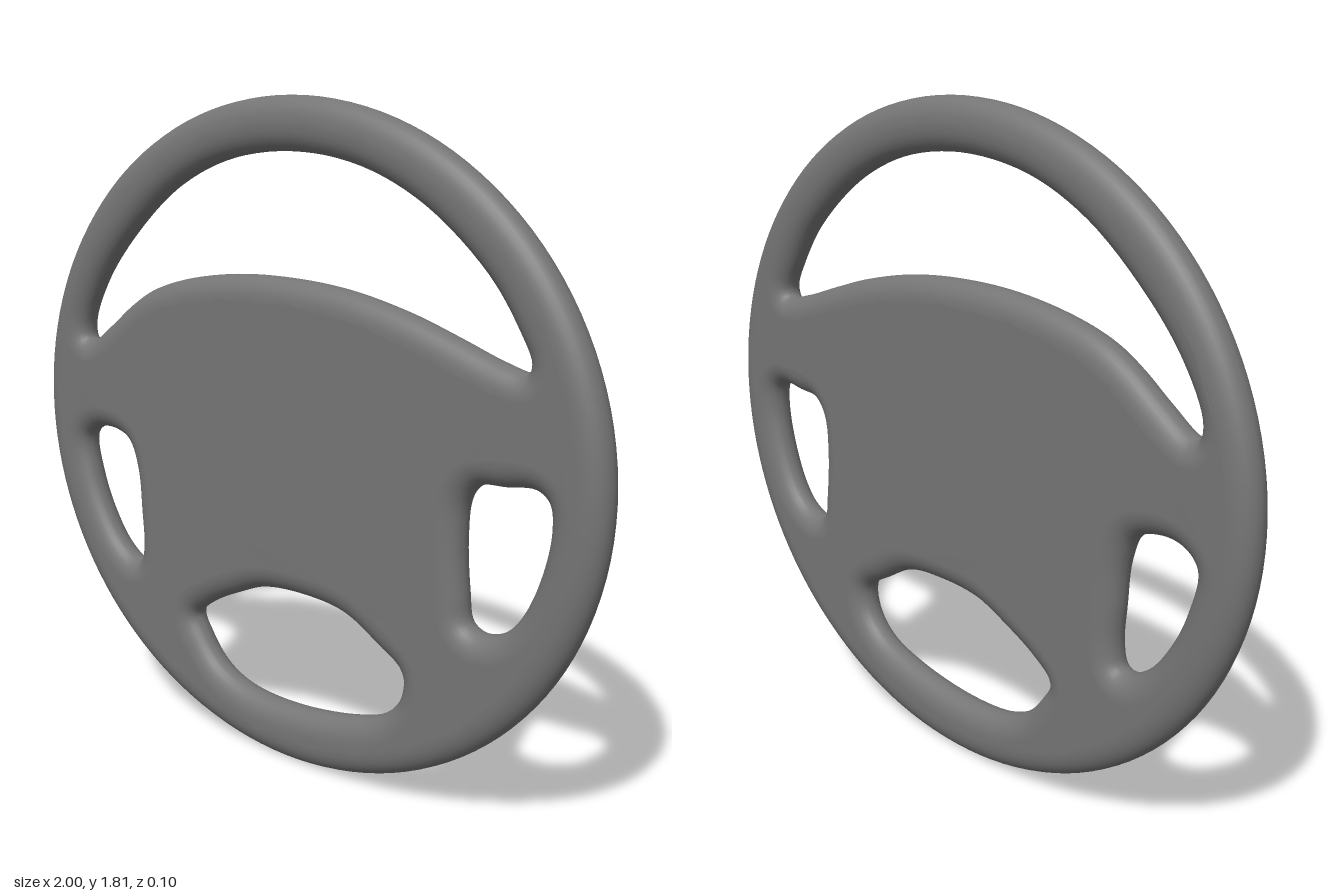
import * as THREE from 'three';
import { mergeVertices } from 'three/addons/utils/BufferGeometryUtils.js';

// Smooth closed outline through a few [x, y] points
function smoothLoop(points) {
  const curve = new THREE.CatmullRomCurve3(
    points.map(([x, y]) => new THREE.Vector3(x, y, 0)), true, 'centripetal');
  return curve.getPoints(points.length * 6).slice(0, -1).map(p => new THREE.Vector2(p.x, p.y));
}

// Openings between the rim, spokes and hub
const upperOpening = [
  [-0.825, 1.105], [-0.828, 1.15], [-0.765, 1.27], [-0.65, 1.4], [-0.46, 1.55], [-0.25, 1.64],
  [0, 1.672], [0.25, 1.64], [0.46, 1.55], [0.65, 1.4], [0.74, 1.28], [0.775, 1.21], [0.765, 1.187],
  [0.69, 1.2], [0.55, 1.245], [0.4, 1.29], [0.2, 1.33], [0, 1.345], [-0.2, 1.34],
  [-0.4, 1.31], [-0.53, 1.27], [-0.62, 1.22], [-0.71, 1.155], [-0.8, 1.098]];
const rightOpening = [
  [-0.835, 0.79], [-0.79, 0.83], [-0.71, 0.836], [-0.64, 0.81], [-0.605, 0.73], [-0.593, 0.61],
  [-0.587, 0.505], [-0.6, 0.455], [-0.635, 0.45], [-0.7, 0.49], [-0.765, 0.575], [-0.812, 0.675]];
const leftOpening = [
  [0.598, 0.85], [0.635, 0.895], [0.715, 0.905], [0.8, 0.913], [0.838, 0.89], [0.847, 0.825],
  [0.822, 0.708], [0.77, 0.595], [0.715, 0.54], [0.65, 0.522], [0.61, 0.54], [0.597, 0.61], [0.587, 0.745]];
const lowerOpening = [
  [-0.363, 0.334], [-0.31, 0.38], [-0.2, 0.435], [-0.085, 0.478], [0.065, 0.489], [0.214, 0.473],
  [0.33, 0.414], [0.41, 0.36], [0.405, 0.29], [0.347, 0.227], [0.224, 0.184], [-0.01, 0.155],
  [-0.176, 0.168], [-0.272, 0.21], [-0.336, 0.28]];

export function createModel() {
  const group = new THREE.Group();
  group.name = 'steeringWheel';
  const darkGrey = new THREE.MeshStandardMaterial({ color: 0x757575 });
  darkGrey.name = 'darkGrey';

  // Slightly flattened outer outline
  const rim = [];
  for (let i = 0; i < 128; i++) {
    const a = (i / 128) * Math.PI * 2;
    rim.push(new THREE.Vector2(Math.cos(a), 0.907 + 0.907 * Math.sin(a)));
  }
  const outline = new THREE.Shape(rim);
  for (const opening of [upperOpening, rightOpening, leftOpening, lowerOpening]) {
    outline.holes.push(new THREE.Path(smoothLoop(opening)));
  }

  // One moulded body: rounded edges turn the ring into a soft rim that flows into the hub
  const roundness = 0.066, halfDepth = 0.051, core = 0.006;
  let body = new THREE.ExtrudeGeometry(outline, {
    depth: core, steps: 1, bevelEnabled: true, bevelSegments: 7,
    bevelThickness: halfDepth - core / 2, bevelSize: roundness, bevelOffset: -roundness,
  });
  body.translate(0, 0, -core / 2);

  // Shared vertices give smooth shading across the body
  body.deleteAttribute('normal');
  body.deleteAttribute('uv');
  body.clearGroups();
  body = mergeVertices(body, 1e-5);
  body.computeVertexNormals();

  const wheel = new THREE.Mesh(body, darkGrey);
  wheel.name = 'rimAndHub';
  group.add(wheel);
  return group;
}
